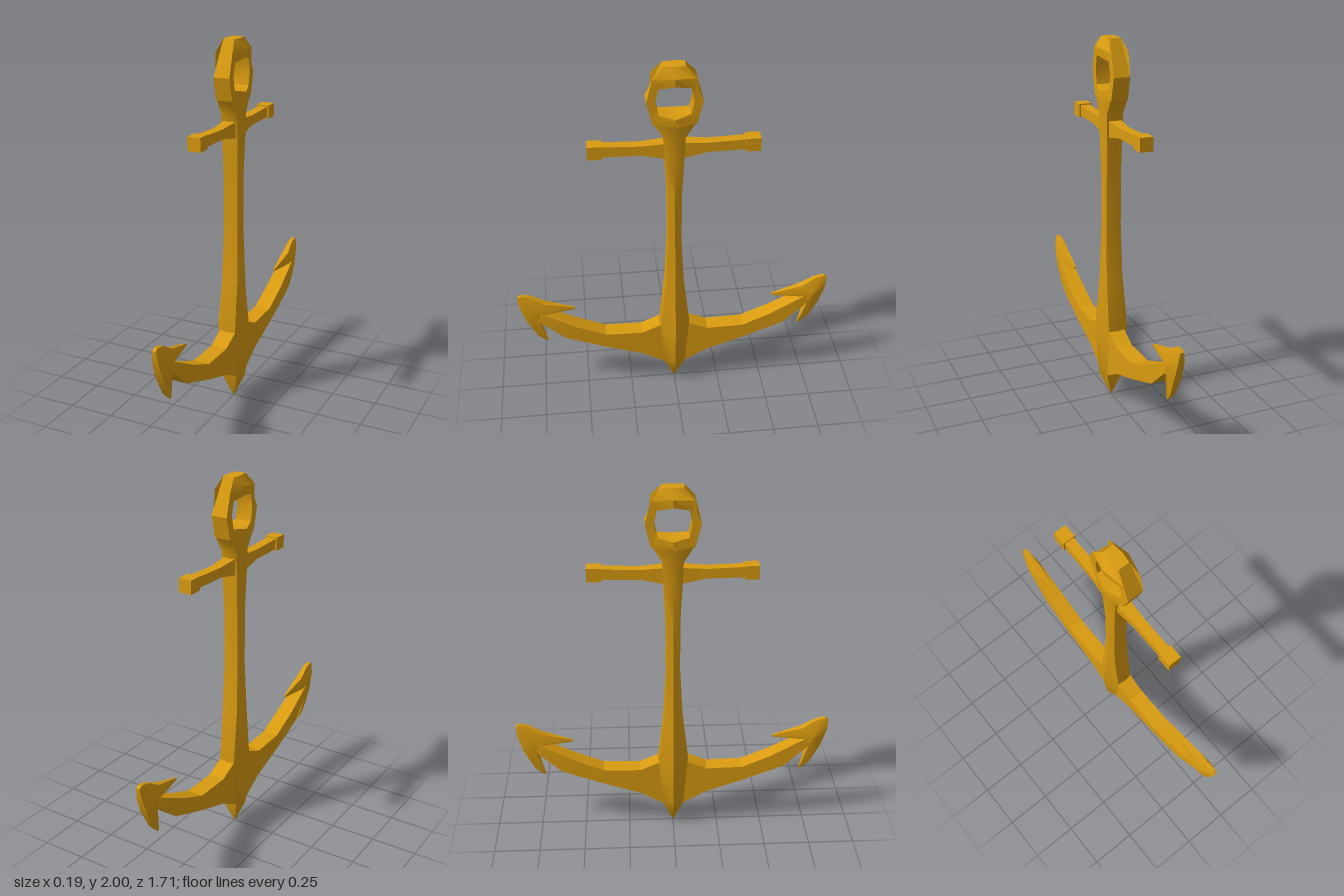
import * as THREE from 'three';
import { toCreasedNormals } from 'three/addons/utils/BufferGeometryUtils.js';

const material = new THREE.MeshStandardMaterial({ color: 0xd99b10 });

// Closed mesh from a triangle list; turned outward if its volume is negative
function solid(name, triangles, crease = 0.6) {
  let volume = 0;
  for (const [a, b, c] of triangles) volume += a.dot(b.clone().cross(c));
  const points = triangles.flatMap(([a, b, c]) => (volume < 0 ? [a, c, b] : [a, b, c]));
  const geometry = toCreasedNormals(new THREE.BufferGeometry().setFromPoints(points), crease);
  const mesh = new THREE.Mesh(geometry, material);
  mesh.name = name;
  return mesh;
}

// Skin over equal-length cross-sections; a ring joins last to first
function loft(name, sections, { ring = false, crease = 0.6 } = {}) {
  const tris = [];
  const n = sections[0].length;
  const count = sections.length;
  for (let i = 0; i < (ring ? count : count - 1); i++) {
    const s = sections[i], t = sections[(i + 1) % count];
    for (let j = 0; j < n; j++) {
      const k = (j + 1) % n;
      tris.push([s[j], s[k], t[k]], [s[j], t[k], t[j]]);
    }
  }
  if (!ring) {
    const first = sections[0], last = sections[count - 1];
    for (let j = 1; j < n - 1; j++) {
      tris.push([first[0], first[j + 1], first[j]], [last[0], last[j], last[j + 1]]);
    }
  }
  return solid(name, tris, crease);
}

const v = (x, y, z) => new THREE.Vector3(x, y, z);

// Four-cornered section between an upper and a lower point
const bar = (w, z1, y1, z0, y0) => [v(-w, y1, z1), v(w, y1, z1), v(w, y0, z0), v(-w, y0, z0)];

// Shank: eight-sided, with a ridge along each x side
function makeShank() {
  const profile = [ // y, half width x, half depth z
    [0, 0.002, 0.002], [0.145, 0.07, 0.06], [0.42, 0.095, 0.085], [0.72, 0.066, 0.052],
    [1.0, 0.056, 0.038], [1.3, 0.055, 0.04], [1.48, 0.06, 0.05], [1.62, 0.065, 0.056],
    [1.7, 0.069, 0.11],
  ];
  return loft('shank', profile.map(([y, x, z]) => {
    const f = Math.min(0.045, x * 0.72), d = z * 0.93;
    return [[x, 0], [f, d], [0, z], [-f, d], [-x, 0], [-f, -d], [0, -z], [f, -d]]
      .map(([px, pz]) => v(px, y, pz));
  }), { crease: 0.75 });
}

// Eye: faceted ring with a domed crown, thicker above and below the hole
function makeEye() {
  const half = [ // z, y, half width for inner edge, shoulder and outer edge
    [[0, 1.91, 0.07], [0, 1.95, 0.07], [0, 2.0, 0.036]],
    [[0.08, 1.89, 0.046], [0.11, 1.94, 0.046], [0.055, 2.0, 0.03]],
    [[0.095, 1.82, 0.044], [0.118, 1.82, 0.044], [0.14, 1.82, 0.044]],
    [[0.08, 1.75, 0.045], [0.095, 1.725, 0.045], [0.11, 1.7, 0.045]],
    [[0, 1.735, 0.07], [0, 1.715, 0.07], [0, 1.69, 0.068]],
  ];
  const other = half.slice(1, 4).reverse().map(s => s.map(([z, y, w]) => [-z, y, w]));
  const sections = [...half, ...other].map(s => [
    ...s.map(([z, y, w]) => v(w, y, z)),
    ...s.slice().reverse().map(([z, y, w]) => v(-w, y, z)),
  ]);
  return loft('eye', sections, { ring: true, crease: 0.5 });
}

// Half of the cross bar with its end block
function makeStock() {
  const group = new THREE.Group();
  group.name = 'stock';
  group.add(loft('stockBar', [
    bar(0.035, 0, 1.59, 0, 1.49), bar(0.033, 0.05, 1.585, 0.05, 1.5),
    bar(0.027, 0.17, 1.575, 0.17, 1.523), bar(0.026, 0.37, 1.582, 0.37, 1.525),
  ], { crease: 0.3 }));
  const block = new THREE.Mesh(new THREE.BoxGeometry(0.07, 0.072, 0.075), material);
  block.name = 'stockBlock';
  block.position.set(0, 1.553, 0.398);
  group.add(block);
  return group;
}

// Curved arm, swept from the crown out into the fluke
function makeArm() {
  return loft('arm', [
    bar(0.045, 0, 0.43, 0, 0.14), bar(0.045, 0.08, 0.424, 0.058, 0.149),
    bar(0.045, 0.185, 0.377, 0.185, 0.223), bar(0.045, 0.386, 0.382, 0.386, 0.292),
    bar(0.044, 0.545, 0.451, 0.617, 0.382), bar(0.038, 0.72, 0.546, 0.745, 0.5),
    bar(0.03, 0.765, 0.57, 0.785, 0.53),
  ], { crease: 0.3 });
}

// Barbed fluke: thin outline rising to a peak on each side
function makeFluke() {
  const outline = [ // z, y, half thickness
    [0.857, 0.655, 0.01], [0.84, 0.668, 0.01], [0.79, 0.657, 0.012], [0.714, 0.61, 0.018],
    [0.55, 0.562, 0.004], [0.55, 0.551, 0.004], [0.72, 0.546, 0.03], [0.757, 0.52, 0.038],
    [0.73, 0.408, 0.018], [0.71, 0.337, 0.004], [0.724, 0.342, 0.004], [0.767, 0.387, 0.012],
    [0.82, 0.5, 0.02], [0.852, 0.6, 0.016],
  ];
  const peak = x => v(x, 0.555, 0.775);
  const tris = [];
  outline.forEach(([z, y, w], i) => {
    const [z2, y2, w2] = outline[(i + 1) % outline.length];
    const a = v(w, y, z), b = v(w2, y2, z2), c = v(-w, y, z), d = v(-w2, y2, z2);
    tris.push([peak(0.04), a, b], [peak(-0.04), d, c], [a, c, d], [a, d, b]);
  });
  return solid('fluke', tris, 0.45);
}

export function createModel() {
  const model = new THREE.Group();
  model.name = 'anchor';
  model.add(makeShank(), makeEye());
  // Matching front and back halves
  for (const [name, angle] of [['frontHalf', 0], ['backHalf', Math.PI]]) {
    const half = new THREE.Group();
    half.name = name;
    half.add(makeStock(), makeArm(), makeFluke());
    half.rotation.y = angle;
    model.add(half);
  }
  return model;
}
